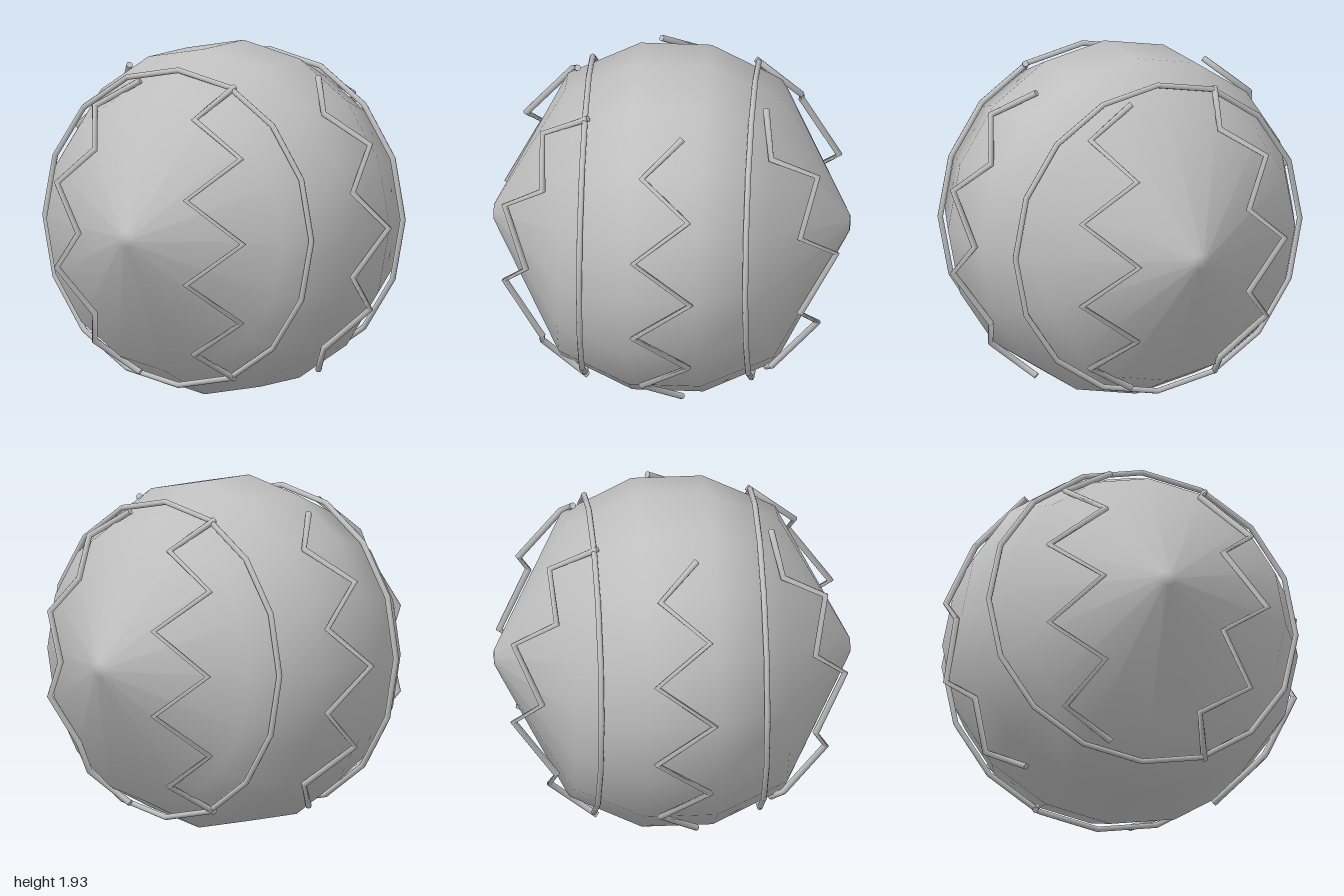
import * as THREE from 'three';

const CENTER_Y = 0.965;
const TUBE = 0.018;

// Straight-segment path; one parameter step per corner
class Polyline extends THREE.Curve {
  constructor(points) {
    super();
    this.points = points;
  }
  getPoint(t, target = new THREE.Vector3()) {
    const n = this.points.length - 1;
    const i = Math.min(Math.floor(t * n), n - 1);
    return target.lerpVectors(this.points[i], this.points[i + 1], t * n - i);
  }
  getPointAt(t, target) { return this.getPoint(t, target); }
  getTangentAt(t, target) { return this.getTangent(t, target); }
}

// Zigzag running from top to bottom around one meridian of the ball
function zigzagPoints(azimuth) {
  const points = [];
  for (let i = 0; i <= 8; i++) {
    const lat = THREE.MathUtils.degToRad(55 - i * 13.75);
    const a = azimuth + (i % 2 ? 1 : -1) * 0.163;
    const r = 0.995;
    points.push(new THREE.Vector3(
      r * Math.cos(lat) * Math.cos(a), r * Math.sin(lat), r * Math.cos(lat) * Math.sin(a)));
  }
  return points;
}

export function createModel() {
  const model = new THREE.Group();
  model.name = 'ornamentBall';
  const grey = new THREE.MeshStandardMaterial({ color: 0xc0c0c0 });
  grey.name = 'grey';

  const ball = new THREE.Group();
  ball.name = 'ball';
  ball.position.y = CENTER_Y;
  model.add(ball);

  const add = (name, geometry, parent = ball) => {
    const mesh = new THREE.Mesh(geometry, grey);
    mesh.name = name;
    parent.add(mesh);
    return mesh;
  };

  // Sixteen-sided body, axis front to back, with conical ends
  const profile = [
    [0, -0.985], [0.043, -0.985], [0.785, -0.593], [0.965, -0.197],
    [0.965, 0.197], [0.785, 0.593], [0.043, 0.985], [0, 0.985],
  ].map(([r, y]) => new THREE.Vector2(r, y));
  add('body', new THREE.LatheGeometry(profile, 16).rotateX(Math.PI / 2));

  // Hoops near the front and back
  for (const side of [1, -1]) {
    const hoop = add(side > 0 ? 'frontHoop' : 'backHoop', new THREE.TorusGeometry(0.88, 0.016, 8, 16));
    hoop.position.z = side * 0.46;
  }

  // Six zigzag wires with flat end caps
  for (let k = 0; k < 6; k++) {
    const zigzag = new THREE.Group();
    zigzag.name = 'zigzag' + (k + 1);
    ball.add(zigzag);
    const points = zigzagPoints(k * Math.PI / 3);
    add('wire', new THREE.TubeGeometry(new Polyline(points), 8, TUBE, 8), zigzag);
    for (const [end, next] of [[points[0], points[1]], [points[8], points[7]]]) {
      const outward = end.clone().sub(next).normalize();
      const cap = add('wireEnd', new THREE.CircleGeometry(TUBE, 8), zigzag);
      cap.position.copy(end);
      cap.quaternion.setFromUnitVectors(new THREE.Vector3(0, 0, 1), outward);
    }
  }
  return model;
}
